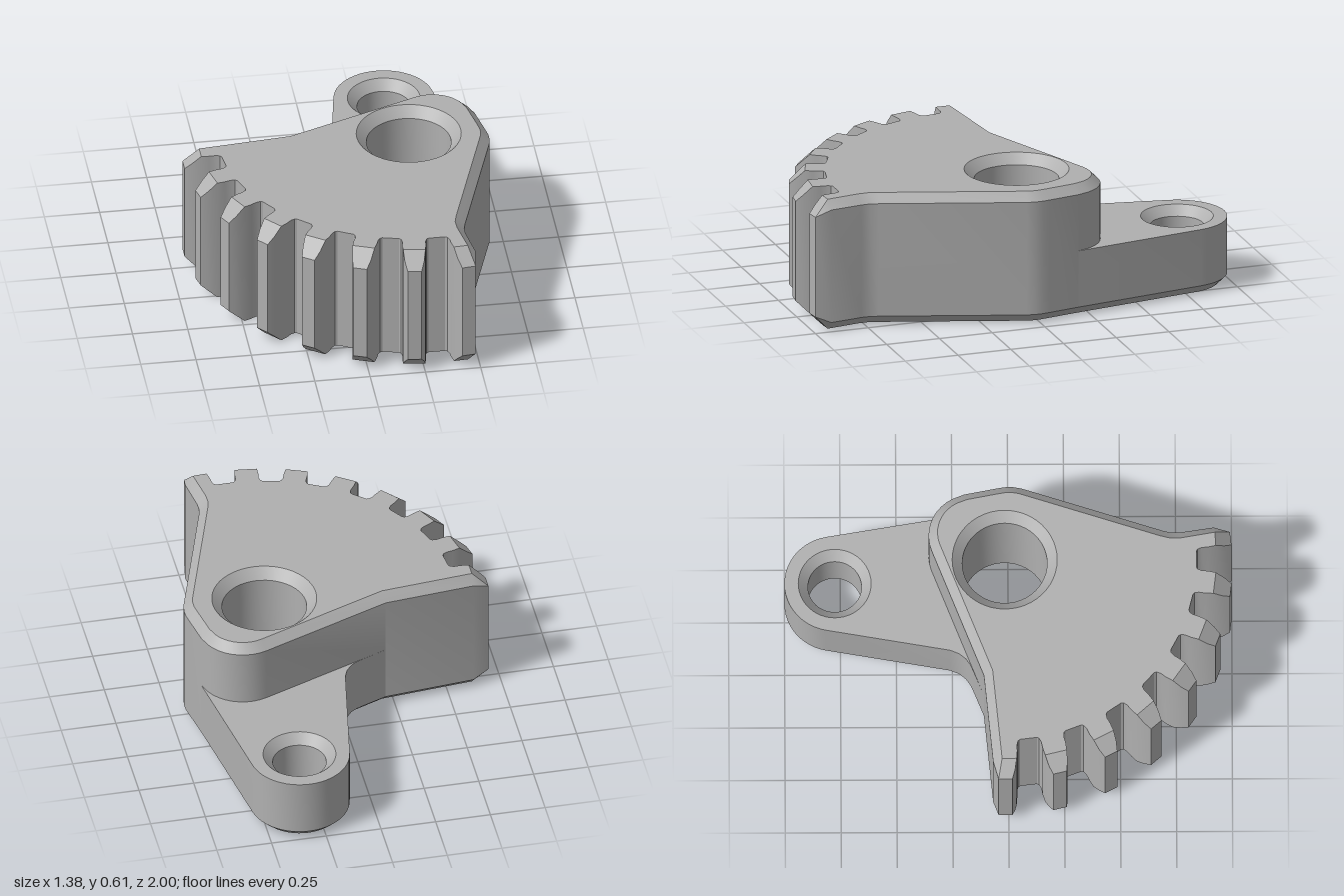
import * as THREE from 'three';
import { toCreasedNormals } from 'three/addons/utils/BufferGeometryUtils.js';

const H = 0.61, ARM_H = 0.305, CHAMFER = 0.04, TIP_CHAMFER = 0.07;
const BORE = { x: 0.325, z: -0.015, r: 0.19, rim: 0.235 };
const EYE = { x: 0.325, z: -0.775, r: 0.12, rim: 0.163 };
const PITCH = (Math.PI * 2) / 26, TEETH = 8, R_TIP = 1.018, R_CONE = 0.945;
// tooth flank from root to tip: radius, half width
const FLANK = [[0.855, 0.066], [0.862, 0.057], [0.88, 0.052], [0.91, 0.053], [R_CONE, 0.05], [0.985, 0.043], [R_TIP, 0.031]];

const pt = (x, z) => ({ x, z });
const arc = (cx, cz, r, t0, t1, n) => Array.from({ length: n + 1 }, (_, i) => {
  const t = t0 + ((t1 - t0) * i) / n;
  return pt(cx - r * Math.cos(t), cz - r * Math.sin(t));
});

// Outline points carry an inset position and a chamfer depth
function toothPoints() {
  const out = [];
  for (let k = 0; k < TEETH; k++) {
    const a = (k - 0.5) * PITCH, s = Math.sin(a), c = Math.cos(a);
    const at = (r, h) => pt(BORE.x - s * r - c * h, BORE.z + c * r - s * h);
    for (const side of [-1, 1]) {
      const outerSide = (k === 0 && side < 0) || (k === TEETH - 1 && side > 0);
      const list = outerSide ? FLANK.slice(-1) : FLANK.slice();
      if (side > 0) list.reverse();
      for (const [r, h] of list) {
        const p = at(r, side * h);
        let inset = r > R_CONE ? at(R_CONE, side * 0.05) : p;
        if (outerSide) inset = k === 0 ? pt(0.452, 0.925) : pt(-0.62, -0.03);
        const depth = (Math.max(0, r - R_CONE) / (R_TIP - R_CONE)) * TIP_CHAMFER;
        out.push({ ...p, inset, depth });
      }
    }
  }
  return out;
}

const teeth = toothPoints();
const leftEdge = [{ ...pt(-0.62, -0.07), inset: pt(-0.62, -0.03), depth: CHAMFER }, pt(-0.21, -0.11)];
const hubBack = arc(0.455, -0.16, 0.195, 1.199, 2.85, 10);
const armBack = [
  pt(-0.1, -0.154), pt(-0.065, -0.169), pt(-0.035, -0.19), pt(-0.01, -0.221), pt(0.006, -0.26),
  ...arc(EYE.x, EYE.z, 0.225, 0.17, Math.PI - 0.17, 24),
];
const rightEdge = [
  pt(0.65, -0.195), pt(0.678, -0.05), pt(0.684, -0.015), pt(0.685, 0.02), pt(0.678, 0.06),
  pt(0.475, 0.69), pt(0.465, 0.73), pt(0.466, 0.77),
  { ...pt(0.489, 0.92), inset: pt(0.452, 0.925), depth: CHAMFER },
];

// Closed outline with mitred insets wherever none is given
function outline(back) {
  const pts = [...teeth, ...leftEdge, ...back, ...rightEdge];
  const inward = (a, b) => {
    const l = Math.hypot(b.x - a.x, b.z - a.z);
    return [-(b.z - a.z) / l, (b.x - a.x) / l];
  };
  return pts.map((p, i) => {
    if (p.inset) return p;
    const n = inward(pts[(i + pts.length - 1) % pts.length], p);
    const m = inward(p, pts[(i + 1) % pts.length]);
    const k = CHAMFER / (1 + n[0] * m[0] + n[1] * m[1]);
    return { ...p, inset: pt(p.x + (n[0] + m[0]) * k, p.z + (n[1] + m[1]) * k), depth: CHAMFER };
  });
}

const SEG = 48;
const circle = (hole) => Array.from({ length: SEG }, (_, i) => {
  const t = (i / SEG) * Math.PI * 2;
  return pt(hole.x + hole.rim * Math.sin(t), hole.z + hole.rim * Math.cos(t));
});

// Collects triangles for one part
class Surface {
  constructor() { this.pos = []; }
  tri(a, b, c) {
    const ab = b.clone().sub(a), ac = c.clone().sub(a);
    if (ab.cross(ac).length() < 1e-9) return;
    for (const v of [a, b, c]) this.pos.push(v.x, v.y, v.z);
  }
  // wall between two rows of points
  strip(low, high) {
    for (let i = 0; i + 1 < low.length; i++) {
      this.tri(low[i], high[i], high[i + 1]);
      this.tri(low[i], high[i + 1], low[i + 1]);
    }
  }
  // flat face with holes, facing up (+1) or down (-1)
  cap(contour, holes, y, facing) {
    const flat = (list) => list.map((p) => new THREE.Vector2(p.x, p.z));
    const c = flat(contour).filter((p, i, l) => p.distanceTo(l[(i + 1) % l.length]) > 1e-6);
    const h = holes.map((hole) => flat(circle(hole)));
    const all = [...c, ...h.flat()].map((p) => new THREE.Vector3(p.x, y, p.y));
    for (const [i, j, k] of THREE.ShapeUtils.triangulateShape(c, h)) {
      const A = all[i], B = all[j], C = all[k];
      const ny = (B.z - A.z) * (C.x - A.x) - (B.x - A.x) * (C.z - A.z);
      if (ny * facing > 0) this.tri(A, B, C);
      else this.tri(A, C, B);
    }
  }
  geometry() {
    const g = new THREE.BufferGeometry();
    g.setAttribute('position', new THREE.Float32BufferAttribute(this.pos, 3));
    return toCreasedNormals(g, 0.5);
  }
}

const v3 = (p, y) => new THREE.Vector3(p.x, y, p.z);
const lowIn = (l) => l.map((p) => v3(p.inset, 0));
const lowOut = (l) => l.map((p) => v3(p, p.depth));
const highOut = (l) => l.map((p) => v3(p, H - p.depth));
const highIn = (l) => l.map((p) => v3(p.inset, H));
const level = (l, y) => l.map((p) => v3(p, y));

// Hole lining with a chamfered rim at both ends
function lining(hole, height) {
  const c = hole.rim - hole.r;
  const profile = [[hole.rim, height], [hole.r, height - c], [hole.r, c], [hole.rim, 0]];
  const g = new THREE.LatheGeometry(profile.map(([r, y]) => new THREE.Vector2(r, y)), SEG);
  return toCreasedNormals(g.translate(hole.x, 0, hole.z), 0.5);
}

export function createModel() {
  const group = new THREE.Group();
  group.name = 'sectorGear';
  const grey = new THREE.MeshStandardMaterial({ color: 0xb0b0b0 });
  grey.name = 'plainGrey';
  const add = (name, geometry) => {
    const mesh = new THREE.Mesh(geometry, grey);
    mesh.name = name;
    group.add(mesh);
  };

  const upper = outline(hubBack), lower = outline(armBack);
  const backStart = teeth.length + leftEdge.length - 1;
  const sharedRun = (ring) => [...ring.slice(-rightEdge.length), ...ring.slice(0, backStart + 1)];
  const backRun = (ring) => ring.slice(backStart, ring.length - rightEdge.length + 1);

  // toothed sector and hub
  const sector = new Surface();
  const sharedLow = sharedRun(lower), sharedHigh = sharedRun(upper), hub = backRun(upper);
  sector.strip(lowIn(sharedLow), lowOut(sharedLow));
  sector.strip(lowOut(sharedLow), highOut(sharedHigh));
  sector.strip(highOut(sharedHigh), highIn(sharedHigh));
  sector.strip(level(hub, ARM_H), highOut(hub));
  sector.strip(highOut(hub), highIn(hub));
  sector.cap(upper.map((p) => p.inset), [BORE], H, 1);
  add('toothedSector', sector.geometry());

  // lever arm at half height
  const arm = new Surface(), armRun = backRun(lower);
  arm.strip(lowIn(armRun), lowOut(armRun));
  arm.strip(lowOut(armRun), level(armRun, ARM_H));
  arm.cap([...armRun, ...hub.slice(1, -1).reverse()], [EYE], ARM_H, 1);
  add('leverArm', arm.geometry());

  // common underside
  const base = new Surface();
  base.cap(lower.map((p) => p.inset), [BORE, EYE], 0, -1);
  add('underside', base.geometry());

  add('hubBore', lining(BORE, H));
  add('armEye', lining(EYE, ARM_H));
  return group;
}
